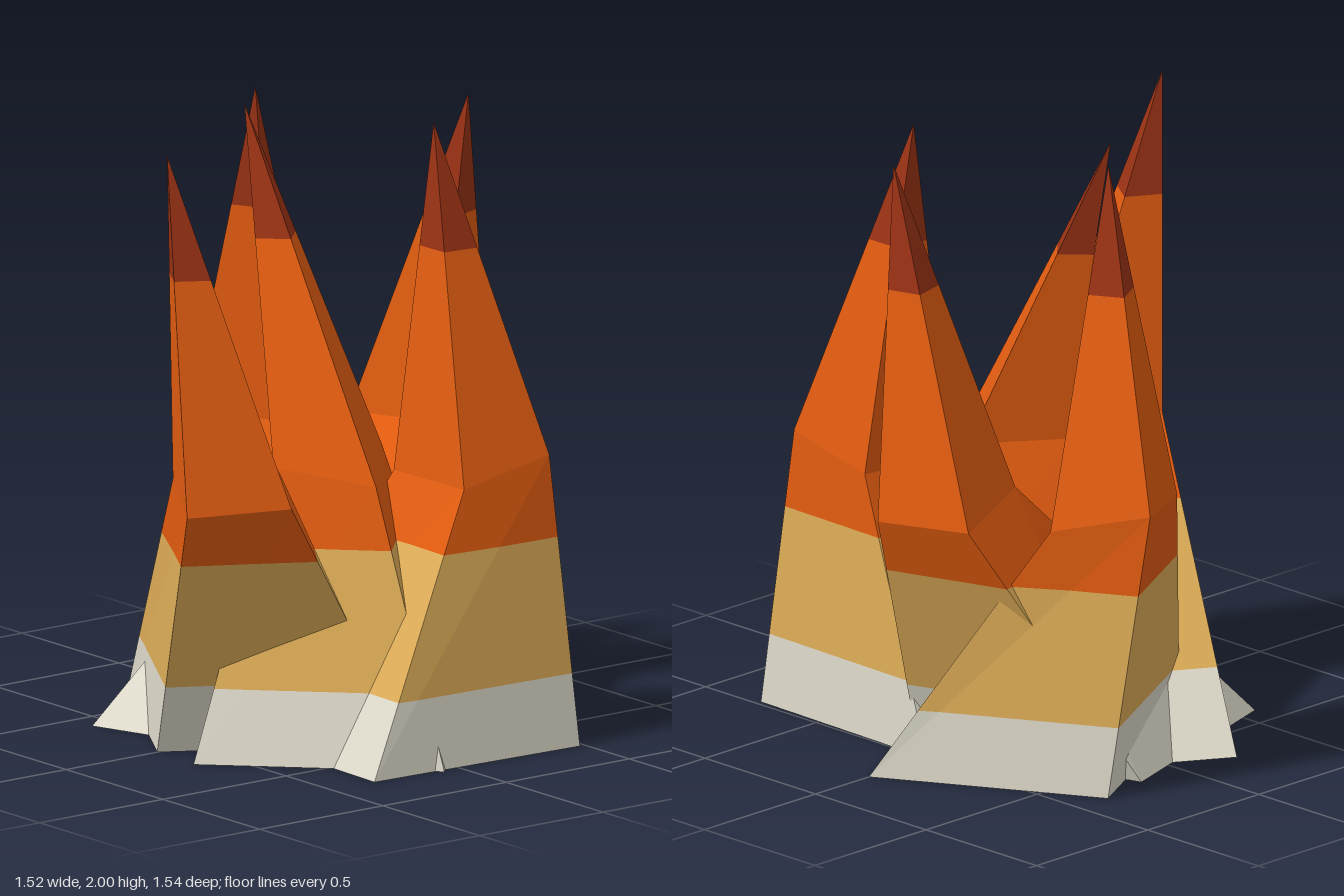
import * as THREE from 'three';

// Colour bands by height, shared by all flames
const BANDS = [
  ['ash', 0xdedacb, -1, 0.235],
  ['amber', 0xdead58, 0.235, 0.675],
  ['orange', 0xe25c10, 0.675, 1.6],
  ['darkRed', 0x9a3214, 1.6, 3],
];

// Each tongue: wide square base, narrow shoulder ring (x, y, z) and a leaning tip
const FLAMES = [
  { name: 'leftSideFlame', tip: [-0.70, 0.14],
    base: [[-0.63, 0.0], [0.07, 0.41], [0.48, -0.28], [-0.21, -0.69]],
    ring: [[-0.76, 0.85, 0.32], [-0.47, 0.87, 0.49], [-0.30, 0.92, 0.20], [-0.59, 0.9, 0.03]] },
  { name: 'middleFlame', tip: [-0.08, -0.25],
    base: [[-0.07, 0.77], [0.49, 0.21], [-0.07, -0.36], [-0.64, 0.2]],
    ring: [[-0.08, 0.87, 0.43], [0.14, 0.93, 0.18], [-0.08, 0.95, -0.05], [-0.30, 0.92, 0.18]] },
  { name: 'frontFlame', tip: [0.24, 0.32],
    base: [[-0.33, 0.74], [0.48, 0.77], [0.50, 0.0], [-0.30, -0.03]],
    ring: [[0.12, 0.87, 0.63], [0.45, 0.94, 0.65], [0.46, 0.87, 0.32], [0.11, 0.87, 0.28]] },
  { name: 'rightSideFlame', tip: [0.57, 0.08],
    base: [[-0.33, 0.36], [0.43, 0.11], [0.18, -0.65], [-0.58, -0.40]],
    ring: [[0.43, 0.94, 0.08], [0.74, 0.86, -0.02], [0.64, 0.87, -0.33], [0.33, 0.93, -0.23]] },
  { name: 'backFlame', tip: [0.09, -0.41],
    base: [[0.06, 0.39], [0.76, 0.0], [0.37, -0.69], [-0.33, -0.31]],
    ring: [[0.14, 0.9, -0.35], [0.44, 0.87, -0.50], [0.26, 0.94, -0.77], [-0.01, 0.92, -0.62]] },
];

// Keep the part of a polygon where sign * (y - level) >= 0
function clip(poly, level, sign) {
  const out = [];
  poly.forEach((a, i) => {
    const b = poly[(i + 1) % poly.length];
    const da = sign * (a.y - level), db = sign * (b.y - level);
    if (da >= 0) out.push(a);
    if ((da > 0 && db < 0) || (da < 0 && db > 0)) out.push(a.clone().lerp(b, da / (da - db)));
  });
  return out;
}

// Triangles of one tongue: lower walls, upper spike and hollowed underside
function flameTriangles({ base, ring, tip }) {
  const b = base.map(([x, z]) => new THREE.Vector3(x, 0, z));
  const m = ring.map((p) => new THREE.Vector3(...p));
  const top = new THREE.Vector3(tip[0], 2, tip[1]);
  const under = b.reduce((s, p) => s.addScaledVector(p, 0.25), new THREE.Vector3()).setY(0.12);
  const tris = [];
  for (let i = 0; i < 4; i++) {
    const j = (i + 1) % 4;
    tris.push([b[i], b[j], m[j]], [b[i], m[j], m[i]], [m[i], m[j], top], [b[j], b[i], under]);
  }
  return tris;
}

// Flat-shaded geometry of the triangles between two heights
function bandGeometry(tris, low, high) {
  const pos = [];
  for (const tri of tris) {
    const poly = clip(clip(tri, low, 1), high, -1);
    for (let i = 1; i + 1 < poly.length; i++) {
      for (const p of [poly[0], poly[i], poly[i + 1]]) pos.push(p.x, p.y, p.z);
    }
  }
  const geo = new THREE.BufferGeometry();
  geo.setAttribute('position', new THREE.Float32BufferAttribute(pos, 3));
  geo.computeVertexNormals();
  return geo;
}

export function createModel() {
  const model = new THREE.Group();
  model.name = 'flames';
  const materials = BANDS.map(([name, color]) => {
    const material = new THREE.MeshStandardMaterial({ color });
    material.name = name;
    return material;
  });
  for (const spec of FLAMES) {
    const flame = new THREE.Group();
    flame.name = spec.name;
    const tris = flameTriangles(spec);
    BANDS.forEach(([name, , low, high], i) => {
      const mesh = new THREE.Mesh(bandGeometry(tris, low, high), materials[i]);
      mesh.name = name + 'Band';
      flame.add(mesh);
    });
    model.add(flame);
  }
  return model;
}
